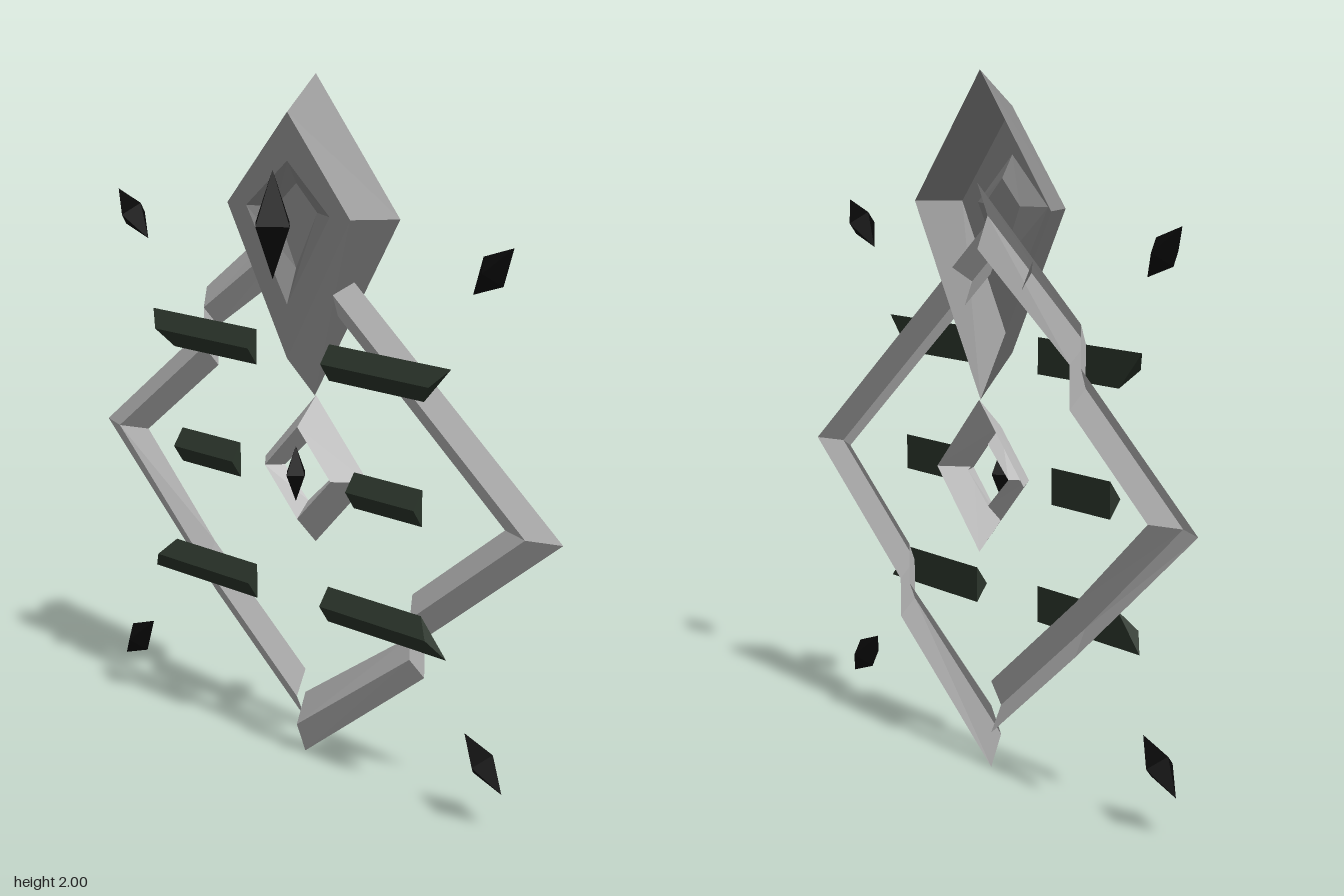
import * as THREE from 'three';
import { ConvexGeometry } from 'three/addons/geometries/ConvexGeometry.js';

// Flat-shaded surface spanning consecutive rows of points
function loft(rows, closed) {
  const pos = [];
  for (let i = 0; i + 1 < rows.length; i++) {
    const a = rows[i], b = rows[i + 1], n = a.length;
    for (let j = 0; j < (closed ? n : n - 1); j++) {
      const k = (j + 1) % n;
      pos.push(...a[j], ...b[j], ...b[k], ...a[j], ...b[k], ...a[k]);
    }
  }
  const g = new THREE.BufferGeometry();
  g.setAttribute('position', new THREE.Float32BufferAttribute(pos, 3));
  g.computeVertexNormals();
  return g;
}

// Kite-shaped ring: top, left, bottom, right (counter-clockwise from the front)
const ring = (top, half, bottom, midY, z) =>
  [[0, top, z], [-half, midY, z], [0, bottom, z], [half, midY, z]];

export function createModel() {
  const group = new THREE.Group();
  const mat = (name, color, side = THREE.FrontSide) => {
    const m = new THREE.MeshStandardMaterial({ color, side });
    m.name = name;
    return m;
  };
  const darkSteel = mat('dark steel', 0x8a8a8a, THREE.DoubleSide);
  const silver = mat('silver', 0xbcbcbc, THREE.DoubleSide);
  const darkGreen = mat('dark green', 0x2a342a);
  const black = mat('black', 0x080808);
  const add = (name, geometry, material) => {
    const m = new THREE.Mesh(geometry, material);
    m.name = name;
    group.add(m);
    return m;
  };

  // Crest: kite shell with sloped sides, flat rim and sunken floor, open at the back
  add('crest', loft([
    ring(2.0, 0.333, 1.08, 1.625, -0.11),
    ring(1.9, 0.25, 1.205, 1.625, 0),
    ring(1.765, 0.17, 1.36, 1.625, 0),
    ring(1.7, 0.085, 1.46, 1.625, -0.035),
    ring(1.62, 0, 1.62, 1.62, -0.035),
  ], true), darkSteel);

  // Small diamond frame with a through hole
  add('centreFrame', loft([
    ring(1.08, 0.215, 0.642, 0.861, -0.115),
    ring(0.998, 0.137, 0.724, 0.861, -0.04),
    ring(0.95, 0.1, 0.772, 0.861, -0.085),
  ], true), silver);

  // Large frame halves: ridged channels [outer x, y, inner x, y, left half's z shift]
  const path = [
    [0, 1.587, 0, 1.433, 0],
    [0.4, 1.279, 0.4, 1.126, 0],
    [0.965, 0.845, 0.765, 0.845, -0.045],
    [0.48, 0.472, 0.43, 0.588, -0.045],
    [0.48, 0.355, 0.43, 0.467, -0.045],
    [0, 0.0, 0, 0.185, -0.045],
  ];
  for (const s of [1, -1]) {
    const rows = path.map(([ox, oy, ix, iy, dz]) => {
      const z = s < 0 ? dz : 0;
      const p = (x, y, depth) => [s * x, s > 0 ? y : 1.69 - y, depth + z];
      return [p(ox, oy, -0.075), p((ox + ix) / 2, (oy + iy) / 2, -0.04), p(ix, iy, -0.075)];
    });
    // reversed so the normals face forward
    add(s > 0 ? 'leftFrame' : 'rightFrame', loft(rows.map((r) => r.reverse()), false), silver);
  }

  // Triangular bars: y centre, inner x, x at top edge, x at bottom edge, base z
  const bars = [
    ['upperBar', 1.213, 0.15, 0.612, 0.515, -0.02],
    ['middleBar', 0.858, 0.237, 0.5, 0.5, -0.035],
    ['lowerBar', 0.506, 0.15, 0.515, 0.612, -0.02],
  ];
  for (const [name, y, x0, xt, xb, z] of bars) {
    for (const s of [1, -1]) {
      const pts = [[x0, 0.052, 0], [xt, 0.052, 0], [x0, 0, 0.035],
        [(xt + xb) / 2, 0, 0.035], [x0, -0.052, 0], [xb, -0.052, 0]];
      add(name, new ConvexGeometry(
        pts.map(([px, py, pz]) => new THREE.Vector3(s * px, y + py, z + pz))), darkGreen);
    }
  }

  // Gems: stretched octahedra
  const gem = (name, x, y, z, w, h, d, turn = 0) => {
    const m = add(name, new THREE.OctahedronGeometry(1).scale(w, h, d), black);
    m.position.set(x, y, z);
    m.rotation.z = turn;
  };
  gem('crestGem', 0, 1.592, 0.055, 0.07, 0.153, 0.065);
  gem('centreGem', 0, 0.861, -0.035, 0.037, 0.082, 0.037);
  for (const sx of [1, -1]) {
    for (const sy of [1, -1]) {
      gem('cornerGem', sx * 0.731, 0.86 + sy * 0.678, -0.045, 0.05, 0.098, 0.045, -sx * sy * Math.PI / 4);
    }
  }
  return group;
}
